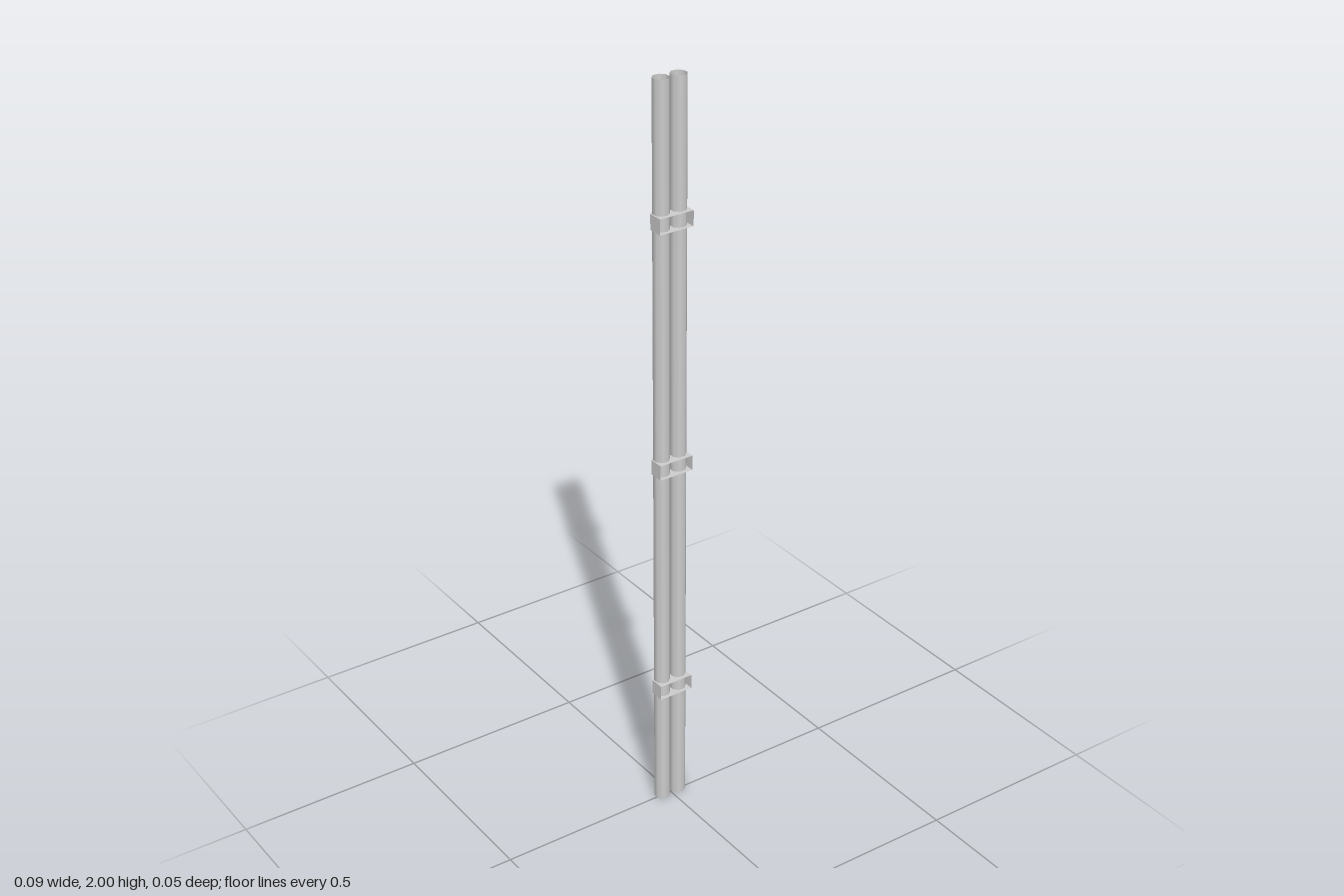
import * as THREE from 'three';

const PIPE_X = 0.0245, PIPE_Z = -0.0035, APOTHEM = 0.0195;
const RADIUS = APOTHEM / Math.cos(Math.PI / 8);
const CLIP_H = 0.04;

const material = new THREE.MeshStandardMaterial({ color: 0xcccccc, side: THREE.DoubleSide });

// clip outline as [x, z], from its left front corner round the back to the right one
const half = [[0.0475, 0.026], [0.0475, -0.014], [0.034, -0.026], [0.0145, -0.026]];
const outline = [...half, [0, -0.012], ...half.map(([x, z]) => [-x, z]).reverse()];

function addMesh(group, name, geometry) {
  const mesh = new THREE.Mesh(geometry, material);
  mesh.name = name;
  group.add(mesh);
  return mesh;
}

// flat end plate of a clip with two octagonal holes; up is 1 or -1
function plateGeometry(up) {
  const shape = new THREE.Shape(outline.map(([x, z]) => new THREE.Vector2(x, -up * z)));
  for (const side of [-1, 1]) {
    const hole = [];
    for (let i = 0; i < 8; i++) {
      const a = (i + 0.5) * Math.PI / 4;
      hole.push(new THREE.Vector2(side * PIPE_X + RADIUS * Math.cos(a), -up * (PIPE_Z + RADIUS * Math.sin(a))));
    }
    shape.holes.push(new THREE.Path(hole));
  }
  return new THREE.ShapeGeometry(shape).rotateX(-up * Math.PI / 2).translate(0, up * CLIP_H / 2, 0);
}

// sides and back of a clip; the front stays open
function wallGeometry() {
  const p = [], h = CLIP_H / 2;
  for (let i = 0; i < outline.length - 1; i++) {
    const [ax, az] = outline[i], [bx, bz] = outline[i + 1];
    p.push(ax, -h, az, bx, -h, bz, bx, h, bz, ax, -h, az, bx, h, bz, ax, h, az);
  }
  const geometry = new THREE.BufferGeometry();
  geometry.setAttribute('position', new THREE.Float32BufferAttribute(p, 3));
  geometry.computeVertexNormals();
  return geometry;
}

export function createModel() {
  const model = new THREE.Group();
  model.name = 'doublePipe';

  // two open eight-sided pipes
  const pipe = new THREE.CylinderGeometry(RADIUS, RADIUS, 2, 8, 1, true, Math.PI / 8);
  for (const side of [-1, 1]) {
    addMesh(model, side > 0 ? 'leftPipe' : 'rightPipe', pipe).position.set(side * PIPE_X, 1, PIPE_Z);
  }

  // three mounting clips
  const walls = wallGeometry(), top = plateGeometry(1), bottom = plateGeometry(-1);
  for (const y of [0.35, 1, 1.65]) {
    const clip = new THREE.Group();
    clip.name = 'mountingClip';
    clip.position.y = y;
    addMesh(clip, 'clipWalls', walls);
    addMesh(clip, 'clipTop', top);
    addMesh(clip, 'clipBottom', bottom);
    model.add(clip);
  }
  return model;
}
